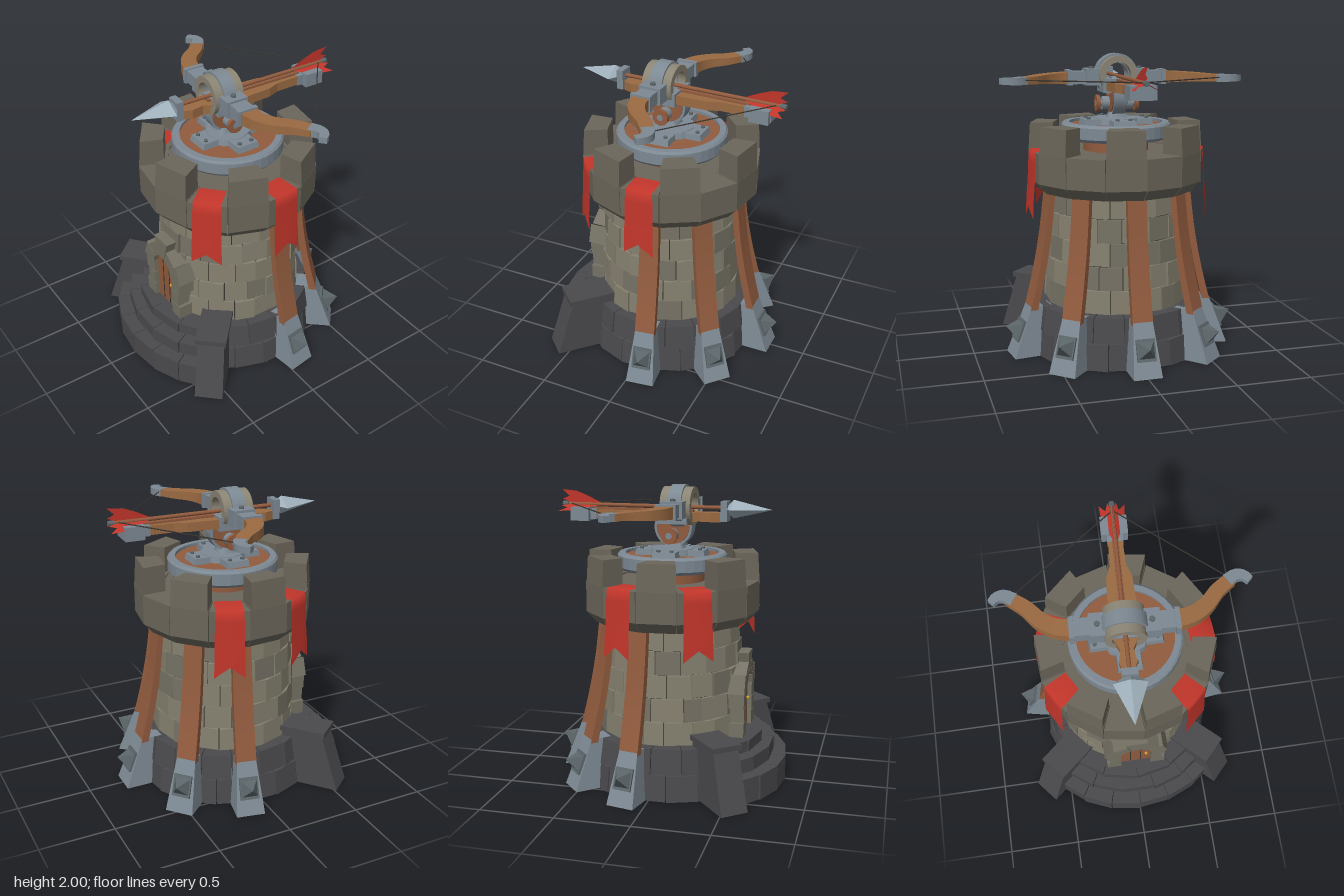
import * as THREE from 'three';
import { mergeGeometries } from 'three/addons/utils/BufferGeometryUtils.js';

const mat = (color, extra = {}) => new THREE.MeshStandardMaterial({ color, ...extra });
const M = {
  wall: mat(0x85806f), wallDark: mat(0x757164), crown: mat(0x6b665a), base: mat(0x4a4a4d), core: mat(0x35342f),
  metal: mat(0x7d8993), steel: mat(0x9fb0bb), spike: mat(0x5d676b), wood: mat(0x915b3e), limb: mat(0x9a6a42),
  ring: mat(0x8b8575), red: mat(0xc0352a, { side: THREE.DoubleSide }), cord: mat(0x3a3632), gold: mat(0xd0a030),
};
const rad = Math.PI / 180;

let seed = 7;
const rnd = (a, b) => { seed = (seed * 16807) % 2147483647; return a + (b - a) * seed / 2147483647; };

function add(parent, name, geo, material, x = 0, y = 0, z = 0) {
  const m = new THREE.Mesh(geo, material);
  m.name = name;
  m.position.set(x, y, z);
  parent.add(m);
  return m;
}
const box = (w, h, d) => new THREE.BoxGeometry(w, h, d);
const cyl = (r0, r1, h, n = 24) => new THREE.CylinderGeometry(r0, r1, h, n);
const cylX = (r, h, n) => cyl(r, r, h, n).rotateZ(Math.PI / 2);
const cylZ = (r, h, n) => cyl(r, r, h, n).rotateX(Math.PI / 2);

// Moves the vertices of a box by a rule (x, y, z in -0.5..0.5)
function mould(rule, n = 1) {
  const g = new THREE.BoxGeometry(1, 1, 1, 1, 1, n), p = g.attributes.position;
  for (let i = 0; i < p.count; i++) p.setXYZ(i, ...rule(p.getX(i), p.getY(i), p.getZ(i)));
  g.computeVertexNormals();
  return g;
}
// Wedge of a round wall between two angles, with radii at bottom and top
const block = (a0, a1, y0, y1, ri, rb, rt = rb) => mould((x, y, z) => {
  const a = x > 0 ? a0 : a1, r = z < 0 ? ri : y < 0 ? rb : rt;
  return [Math.cos(a) * r, y < 0 ? y0 : y1, Math.sin(a) * r];
});
// Tapered block, pointing outward along +z
const taper = (w0, w1, y0, y1, zi, zo0, zo1) => mould((x, y, z) =>
  [x * (y < 0 ? w0 : w1), y < 0 ? y0 : y1, z < 0 ? zi : y < 0 ? zo0 : zo1]);
// Rectangular beam swept along a curve; u is the axis its width follows
function sweep(pts, u, w0, w1, h0, h1, n = 10) {
  const curve = new THREE.CatmullRomCurve3(pts.map(p => new THREE.Vector3(...p)));
  return mould((x, y, z) => {
    const t = z + 0.5, s = curve.getTangent(t).cross(u);
    return curve.getPoint(t).addScaledVector(u, x * (w0 + (w1 - w0) * t))
      .addScaledVector(s, y * (h0 + (h1 - h0) * t)).toArray();
  }, n);
}
const X = new THREE.Vector3(1, 0, 0), Y = new THREE.Vector3(0, 1, 0);

// Group whose +z points outward at the given angle (from +x toward +z)
function spoke(parent, name, deg) {
  const g = new THREE.Group();
  g.name = name;
  g.rotation.y = Math.PI / 2 - deg * rad;
  parent.add(g);
  return g;
}
// Ring or arc of blocks
function course(n, from, to, make) {
  const out = [], step = (to - from) / n * rad;
  for (let i = 0; i < n; i++) out.push(make(from * rad + i * step, from * rad + (i + 1) * step, i));
  return mergeGeometries(out);
}

function buildMasonry(t) {
  // Dark base in two courses
  add(t, 'baseCore', cyl(0.545, 0.57, 0.325, 32), M.core, 0, 0.168, 0);
  [[0, 0.17, 0.615, 0.595], [0.175, 0.34, 0.59, 0.565]].forEach(([y0, y1, rb, rt], k) =>
    add(t, 'baseCourse', course(18, k * 10, 360 + k * 10, (a, b) => {
      const d = rnd(-0.008, 0.008);
      return block(a + 0.005, b - 0.005, y0, y1, 0.4, rb + d, rt + d);
    }), M.base));
  // Stone wall
  add(t, 'wallCore', cyl(0.445, 0.47, 0.8, 36), M.core, 0, 0.73, 0);
  for (let k = 0; k < 5; k++) {
    const y0 = 0.34 + k * 0.157, parts = [[], []];
    let prev = k * 10 * rad;
    const first = prev;
    for (let i = 1; i <= 18; i++) {
      const end = i === 18 ? first + 2 * Math.PI : first + (i * 20 + rnd(-3, 3)) * rad;
      const r = 0.497 - k * 0.007 + rnd(-0.01, 0.008);
      parts[rnd(0, 1) < 0.35 ? 1 : 0].push(block(prev + 0.007, end - 0.007, y0 + 0.003, y0 + 0.154, 0.4, r, r - 0.006));
      prev = end;
    }
    parts.forEach((p, j) => p.length && add(t, 'wallCourse', mergeGeometries(p), j ? M.wallDark : M.wall));
  }
  // Crown: fourteen corbel blocks, every second one carrying a merlon
  const s = 360 / 14, start = 86 - s / 2, g = 0.004;
  add(t, 'crownCorbel', course(14, start, start + 360, (a, b) => block(a + g, b - g, 1.1, 1.17, 0.4, 0.53, 0.592)), M.crown);
  add(t, 'crownWall', course(14, start, start + 360, (a, b) => block(a + g, b - g, 1.17, 1.37, 0.4, 0.592)), M.crown);
  add(t, 'merlons', course(7, start + s, start + s + 360, (a, b) =>
    block(a + 0.01, a + (b - a) / 2 - 0.01, 1.37, 1.55 + rnd(-0.008, 0.004), 0.425, 0.59, 0.578)), M.crown);
  add(t, 'crownFloor', cyl(0.42, 0.42, 0.04, 28), M.crown, 0, 1.34, 0);
}

function buildEntrance(t) {
  // Curved steps
  [[0.8, 0.17], [0.715, 0.265], [0.63, 0.34]].forEach(([r, h], k) =>
    add(t, 'step', course(6 - k, 134, 226, (a, b) => block(a + 0.004, b - 0.004, 0, h, 0.45, r + rnd(-0.006, 0.005))), M.base));
  // Sloped cheek walls
  for (const deg of [133, 230]) {
    const c = spoke(t, 'stairCheek', deg);
    add(c, 'cheekWall', taper(0.19, 0.18, 0, 0.385, 0.42, 0.895, 0.77), M.base);
    add(c, 'cheekCap', box(0.21, 0.035, 0.37), M.base, 0, 0.4, 0.605);
  }
  // Arched door with its stone frame
  const d = spoke(t, 'doorway', 180), arch = new THREE.Shape();
  arch.moveTo(-0.11, 0.34).lineTo(0.11, 0.34).lineTo(0.11, 0.64).absarc(0, 0.64, 0.11, 0, Math.PI).lineTo(-0.11, 0.34);
  add(d, 'door', new THREE.ExtrudeGeometry(arch, { depth: 0.07, bevelEnabled: false, curveSegments: 8 }), M.wood, 0, 0, 0.44);
  for (const x of [-0.037, 0.037]) add(d, 'plankSeam', box(0.006, 0.36, 0.004), M.core, x, 0.53, 0.511);
  add(d, 'doorKnob', new THREE.SphereGeometry(0.012, 10, 8), M.gold, 0.075, 0.54, 0.52);
  for (const sx of [-1, 1]) for (let i = 0; i < 3; i++)
    add(d, 'jambStone', box(i % 2 ? 0.08 : 0.1, 0.097, 0.15), M.wallDark, sx * (i % 2 ? 0.148 : 0.158), 0.39 + i * 0.1, 0.465);
  for (let i = 0; i < 5; i++) {
    const key = i === 2 ? 0.265 : i % 2 ? 0.2 : 0.225;
    const stone = block((i * 36 + 1) * rad, (i * 36 + 35) * rad, -0.08, 0.08, 0.108, key).rotateX(-Math.PI / 2);
    add(d, 'archStone', stone, M.wallDark, 0, 0.64, 0.465);
  }
}

function buildButtresses(t) {
  for (const deg of [82, 42, 0, -42, -78]) {
    const b = spoke(t, 'buttress', deg);
    add(b, 'strut', sweep([[0, 0.3, 0.625], [0, 0.55, 0.565], [0, 0.82, 0.515], [0, 1.14, 0.478]], X, 0.135, 0.125, 0.05, 0.04), M.wood);
    add(b, 'foot', taper(0.19, 0.13, 0, 0.34, 0.5, 0.77, 0.64), M.metal);
    const s = new THREE.Group();
    s.name = 'footSpike';
    s.position.set(0, 0.17, 0.705);
    s.rotation.x = -Math.atan(0.13 / 0.34);
    b.add(s);
    add(s, 'spikePlate', box(0.125, 0.145, 0.03), M.spike);
    const cone = new THREE.ConeGeometry(0.075, 0.09, 4).rotateY(Math.PI / 4).rotateX(Math.PI / 2).toNonIndexed();
    cone.computeVertexNormals();
    add(s, 'spikeTip', cone, M.spike, 0, 0, 0.06);
  }
}

// Swallow-tailed banners hung over the gaps of the crown
function buildBanners(t) {
  const path = [[0.42, 1.378], [0.585, 1.378], [0.592, 1.3], [0.6, 1.17], [0.612, 1.05], [0.618, 0.93]];
  for (const k of [0, 1, 3, 4]) {
    const g = new THREE.PlaneGeometry(1, 1, 2, path.length - 1), p = g.attributes.position;
    for (let i = 0; i < p.count; i++) {
      const row = Math.floor(i / 3), [r, y] = path[row], x = p.getX(i);
      const notch = row === path.length - 1 && x === 0 ? 0.075 : 0;
      p.setXYZ(i, x * (0.175 + row * 0.005), y + notch, r - Math.abs(x) * 0.01 * row / 3);
    }
    g.computeVertexNormals();
    add(spoke(t, 'bannerMount', 86 + k * 360 / 7), 'banner', g, M.red);
  }
}

function buildTurntable(t) {
  add(t, 'turntablePost', cyl(0.22, 0.22, 0.12), M.wood, 0, 1.41, 0);
  add(t, 'turntableDeck', cyl(0.33, 0.33, 0.07, 40), M.wood, 0, 1.495, 0);
  const rim = [[0.315, 1.44], [0.35, 1.44], [0.368, 1.46], [0.368, 1.535], [0.355, 1.55], [0.315, 1.55], [0.315, 1.44]];
  add(t, 'turntableRim', new THREE.LatheGeometry(rim.map(p => new THREE.Vector2(...p)), 40).toNonIndexed(), M.metal).geometry.computeVertexNormals();
  add(t, 'mountPlate', cyl(0.15, 0.16, 0.04, 8), M.metal, 0, 1.555, 0);
  for (let i = 0; i < 4; i++) {
    const a = spoke(t, 'mountArm', i * 90);
    add(a, 'arm', taper(0.16, 0.15, 1.53, 1.57, 0, 0.24, 0.23), M.metal);
    for (const x of [-0.045, 0.045]) add(a, 'bolt', cyl(0.014, 0.014, 0.015, 6), M.spike, x, 1.575, 0.2);
  }
}

function buildBallista(t) {
  const b = new THREE.Group();
  b.name = 'ballista';
  b.rotation.y = -0.045;
  b.position.z = -0.01;
  t.add(b);
  // Pivot
  add(b, 'stand', cyl(0.05, 0.1, 0.07, 4).rotateY(Math.PI / 4), M.metal, -0.02, 1.595, 0);
  add(b, 'pivotRim', cylZ(0.13, 0.085, 28), M.metal, -0.02, 1.72, 0);
  add(b, 'pivotDisc', cylZ(0.112, 0.1, 28), M.wood, -0.02, 1.72, 0);
  add(b, 'axle', cylZ(0.022, 0.29, 12), M.metal, -0.02, 1.67, 0);
  for (const s of [-1, 1]) {
    add(b, 'axleCollar', cylZ(0.045, 0.05, 12), M.metal, -0.02, 1.67, s * 0.08);
    add(b, 'axleWheel', cylZ(0.056, 0.024, 10), M.wood, -0.02, 1.67, s * 0.132);
  }
  // Stock, saddle and metal ends
  const stock = new THREE.Shape(), half = [[-0.36, 0.025], [-0.28, 0.055], [-0.2, 0.04], [-0.12, 0.08], [0.08, 0.09], [0.28, 0.08], [0.36, 0.05], [0.55, 0.045]];
  half.forEach(([x, z], i) => i ? stock.lineTo(x, z) : stock.moveTo(x, z));
  [...half].reverse().forEach(([x, z]) => stock.lineTo(x, -z));
  add(b, 'stock', new THREE.ExtrudeGeometry(stock, { depth: 0.06, bevelEnabled: false }).rotateX(-Math.PI / 2), M.limb, 0, 1.76, 0);
  add(b, 'saddle', box(0.2, 0.09, 0.22), M.metal, -0.03, 1.79, 0);
  add(b, 'stockGroove', box(0.7, 0.02, 0.04), M.wood, 0.2, 1.825, 0);
  add(b, 'tailBlock', taper(0.1, 0.1, -0.035, 0.035, 0.52, 0.7, 0.7).rotateY(Math.PI / 2), M.metal, 0, 1.79, 0);
  add(b, 'tailCap', box(0.13, 0.09, 0.17), M.metal, 0.63, 1.79, 0);
  add(b, 'noseHolder', box(0.045, 0.13, 0.1), M.metal, -0.365, 1.83, 0);
  // Arch around the arrow
  const hoop = (ro, ri, d) => {
    const s = new THREE.Shape().absarc(0, 0, ro, 0, 2 * Math.PI);
    s.holes.push(new THREE.Path().absarc(0, 0, ri, 0, 2 * Math.PI, true));
    return new THREE.ExtrudeGeometry(s, { depth: d, bevelEnabled: false, curveSegments: 20 }).translate(0, 0, -d / 2).rotateY(Math.PI / 2);
  };
  add(b, 'hoop', hoop(0.128, 0.085, 0.205), M.ring, -0.055, 1.858, 0);
  add(b, 'hoopBand', hoop(0.142, 0.08, 0.09), M.metal, -0.055, 1.858, 0);
  // Bow arms, mirrored
  for (const s of [-1, 1]) {
    add(b, 'armSocket', box(0.15, 0.11, 0.1), M.metal, -0.055, 1.845, s * 0.165);
    add(b, 'armNeck', box(0.115, 0.085, 0.1), M.metal, -0.055, 1.842, s * 0.26);
    add(b, 'armCollar', box(0.14, 0.1, 0.03), M.metal, -0.055, 1.842, s * 0.32);
    add(b, 'socketBolt', cyl(0.018, 0.018, 0.02, 8), M.spike, -0.055, 1.905, s * 0.165);
    add(b, 'bowArm', sweep([[-0.055, 1.84, s * 0.31], [-0.035, 1.84, s * 0.41], [0.02, 1.84, s * 0.5], [0.11, 1.84, s * 0.58], [0.18, 1.84, s * 0.67]], Y, 0.08, 0.042, 0.115, 0.085, 14), M.limb);
    add(b, 'bowTip', sweep([[0.17, 1.84, s * 0.65], [0.205, 1.84, s * 0.705], [0.2, 1.84, s * 0.755], [0.165, 1.84, s * 0.79]], Y, 0.05, 0.04, 0.085, 0.05, 8), M.metal);
    const cord = new THREE.LineCurve3(new THREE.Vector3(0.2, 1.845, s * 0.66), new THREE.Vector3(0.72, 1.855, 0));
    add(b, 'bowstring', new THREE.TubeGeometry(cord, 1, 0.004, 6), M.cord);
  }
  // Arrow
  add(b, 'arrowShaft', cylX(0.013, 1.16, 10), M.wood, 0.18, 1.852, 0);
  const head = (r, h) => { const g = new THREE.ConeGeometry(r, h, 4).toNonIndexed(); g.computeVertexNormals(); return g.rotateZ(Math.PI / 2); };
  add(b, 'arrowHead', head(0.105, 0.26), M.steel, -0.55, 1.845, 0).scale.y = 0.58;
  add(b, 'arrowHeadBack', head(0.105, 0.06).rotateY(Math.PI), M.steel, -0.39, 1.845, 0).scale.y = 0.58;
  const vane = new THREE.Shape();
  [[0.5, 0.008], [0.6, 0.055], [0.68, 0.085], [0.785, 0.095], [0.735, 0.05], [0.785, 0.03], [0.73, 0.008]]
    .forEach(([x, y], i) => i ? vane.lineTo(x, y) : vane.moveTo(x, y));
  for (let i = 0; i < 3; i++) add(b, 'fletching', new THREE.ShapeGeometry(vane), M.red, 0, 1.855, 0).rotation.x = i * 120 * rad;
  add(b, 'arrowNock', cylX(0.018, 0.04, 8), M.spike, 0.76, 1.852, 0);
}

export function createModel() {
  const root = new THREE.Group(), t = new THREE.Group();
  root.name = 'ballistaTower';
  t.name = 'tower';
  t.position.x = -0.01;
  root.add(t);
  [buildMasonry, buildEntrance, buildButtresses, buildBanners, buildTurntable, buildBallista].forEach(f => f(t));
  return root;
}
